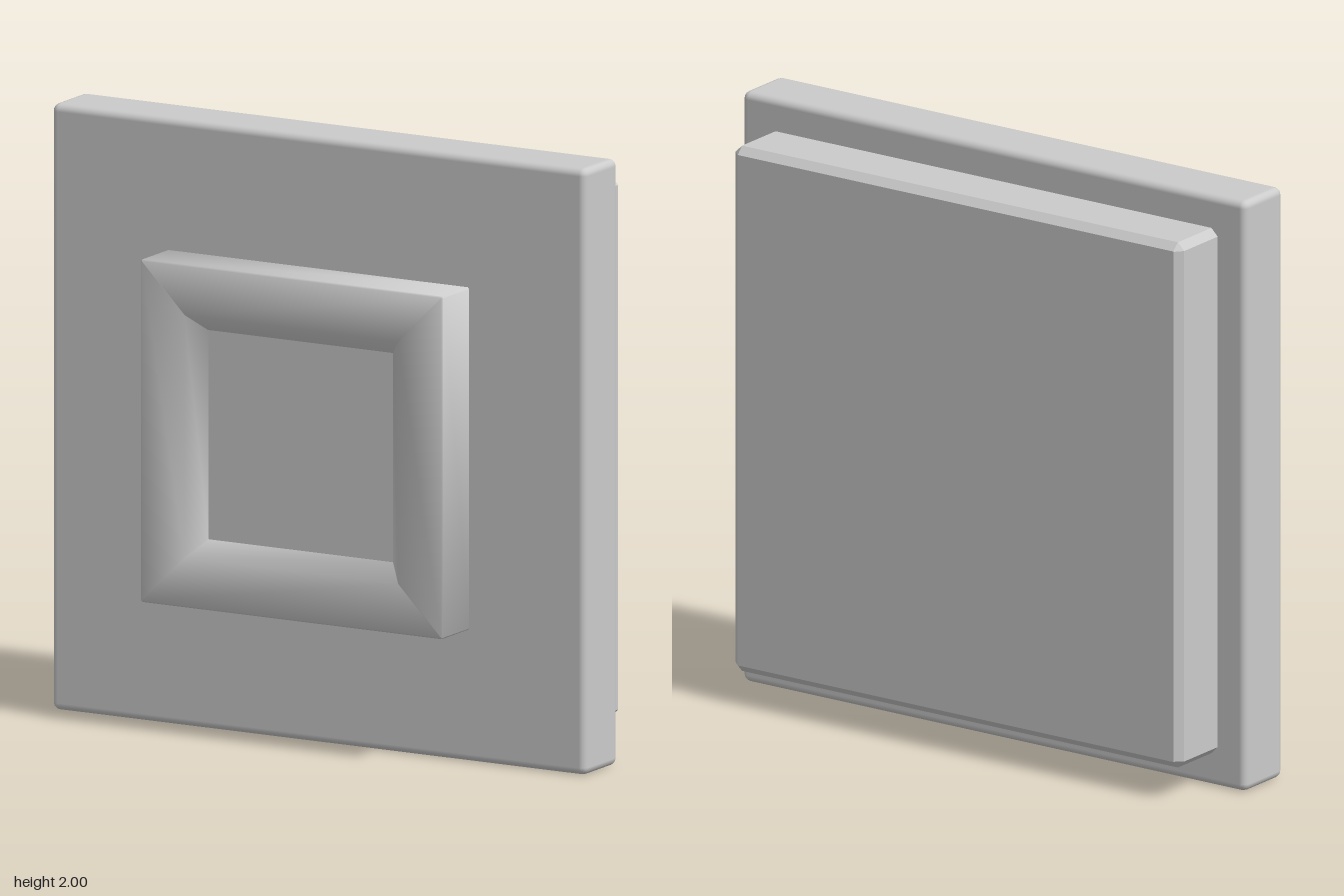
import * as THREE from 'three';
import { toCreasedNormals } from 'three/addons/utils/BufferGeometryUtils.js';
import { RoundedBoxGeometry } from 'three/addons/geometries/RoundedBoxGeometry.js';

const material = new THREE.MeshStandardMaterial({ color: 0xcccccc });

// Square outline with cut corners, counter-clockwise seen from +z
function outline(half, cut) {
  const a = half, b = half - cut;
  return [[a, -b], [a, b], [b, a], [-b, a], [-a, b], [-a, -b], [-b, -a], [b, -a]];
}

// Skin through square rings [half, z, cut], ordered from back to front
function loft(rings, { capBack = false, crease }) {
  const positions = [], index = [], n = 8;
  for (const [half, z, cut] of rings)
    for (const [x, y] of outline(half, cut)) positions.push(x, y, z);
  for (let r = 0; r < rings.length - 1; r++) {
    for (let i = 0; i < n; i++) {
      const a = r * n + i, b = r * n + (i + 1) % n;
      index.push(a, b, b + n, a, b + n, a + n);
    }
  }
  if (capBack) for (let i = 1; i < n - 1; i++) index.push(0, i + 1, i);
  const geometry = new THREE.BufferGeometry();
  geometry.setAttribute('position', new THREE.Float32BufferAttribute(positions, 3));
  geometry.setIndex(index);
  return toCreasedNormals(geometry, crease);
}

export function createModel() {
  const group = new THREE.Group();
  const add = (name, geometry, z = 0) => {
    const mesh = new THREE.Mesh(geometry, material);
    mesh.name = name;
    mesh.position.set(0, 1, z);
    group.add(mesh);
  };

  // Wide plate with softened edges
  add('mainPlate', new RoundedBoxGeometry(2, 2, 0.21, 2, 0.025), 0.02);

  // Block behind the plate, with hard chamfers
  add('backBlock', loft([
    [0.865, -0.295, 0.001],
    [0.89, -0.27, 0.025],
    [0.89, -0.08, 0.025],
  ], { capBack: true, crease: 0.5 }));

  // Raised square frame whose face rolls into a sloping opening
  add('frontFrame', loft([
    [0.565, 0.12, 0.005],
    [0.565, 0.29, 0.005],
    [0.56, 0.295, 0.001],
    [0.4, 0.295, 0.001],
    [0.345, 0.235, 0.001],
  ], { crease: 0.9 }));

  // Flat floor of the opening
  add('recessFloor', new THREE.PlaneGeometry(0.69, 0.69), 0.235);

  return group;
}
